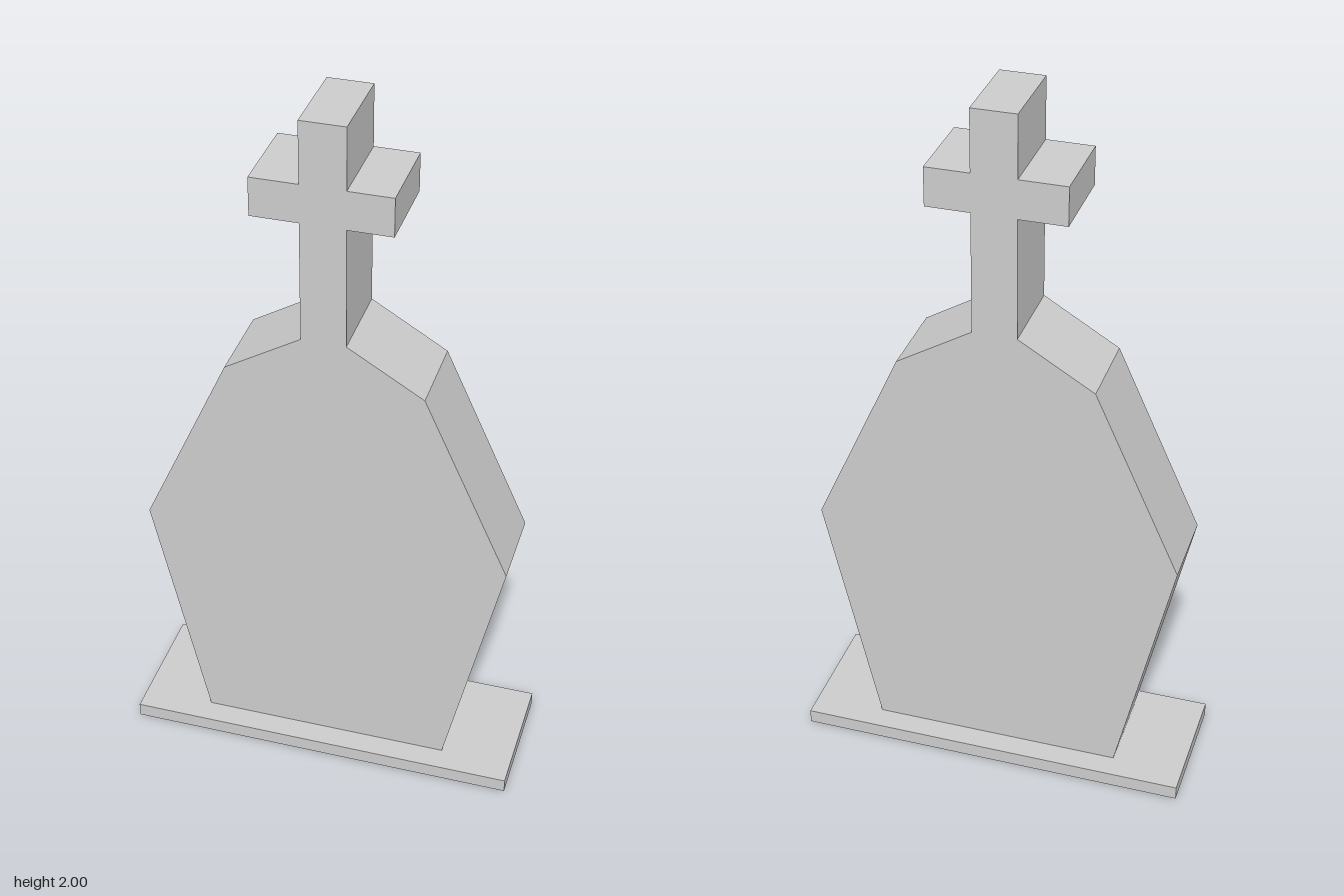
import * as THREE from 'three';

const DEPTH = 0.24;

export function createModel() {
  const group = new THREE.Group();
  const material = new THREE.MeshStandardMaterial({ color: 0xcccccc, flatShading: true });

  const add = (name, geometry) => {
    const mesh = new THREE.Mesh(geometry, material);
    mesh.name = name;
    group.add(mesh);
    return mesh;
  };

  // Extrudes a front outline, centred on z = 0
  const slab = (points) => {
    const shape = new THREE.Shape(points.map(([x, y]) => new THREE.Vector2(x, y)));
    return new THREE.ExtrudeGeometry(shape, { depth: DEPTH, bevelEnabled: false })
      .translate(0, 0, -DEPTH / 2);
  };

  // Thin ground plinth
  add('basePlate', new THREE.BoxGeometry(1.106, 0.04, 0.376)).position.y = 0.02;

  // Coffin-shaped headstone: right half of the outline, mirrored
  const half = [[0.352, 0.04], [0.508, 0.73], [0.27, 1.255], [0.061, 1.38]];
  const mirrored = half.map(([x, y]) => [-x, y]).reverse();
  add('headstone', slab([...half, ...mirrored]));

  // Cross on top, as deep as the headstone
  add('cross', slab([
    [-0.061, 1.38], [0.061, 1.38], [0.061, 1.72], [0.182, 1.72], [0.182, 1.828], [0.061, 1.828],
    [0.061, 2], [-0.061, 2], [-0.061, 1.828], [-0.191, 1.828], [-0.191, 1.72], [-0.061, 1.72],
  ]));

  return group;
}
